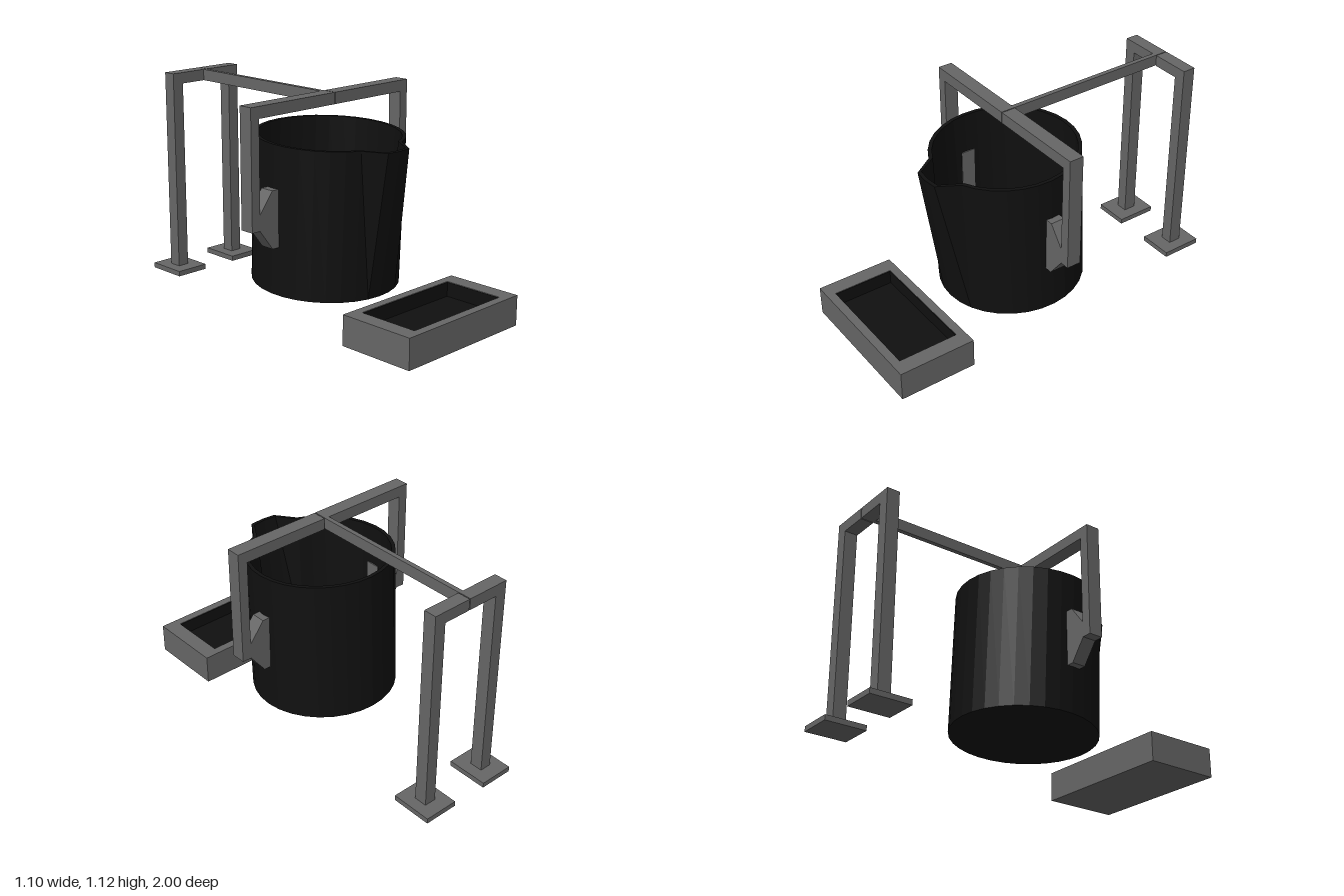
import * as THREE from 'three';

const steel = new THREE.MeshStandardMaterial({ color: 0x666666, flatShading: true });
const black = new THREE.MeshStandardMaterial({ color: 0x101010, flatShading: true });

function add(parent, name, geometry, material) {
  const mesh = new THREE.Mesh(geometry, material);
  mesh.name = name;
  parent.add(mesh);
  return mesh;
}

// Box given by its extents on each axis
function block(parent, name, [x0, x1], [y0, y1], [z0, z1], material = steel) {
  const mesh = add(parent, name, new THREE.BoxGeometry(x1 - x0, y1 - y0, z1 - z0), material);
  mesh.position.set((x0 + x1) / 2, (y0 + y1) / 2, (z0 + z1) / 2);
  return mesh;
}

// Hollow ladle lofted through rings; the three front points lean out into a spout
function ladleGeometry() {
  const sides = 32, r = 0.382, wall = 0.02, h = 0.765, spout = 0.088;
  const rings = [ // radius, height, spout reach
    [0, 0, 0], [r, 0, 0], [r, h, spout],
    [r - wall, h, spout], [r - wall, 0.03, 0], [0, 0.03, 0],
  ];
  const points = [], index = [];
  rings.forEach(([radius, y, reach], k) => {
    for (let i = 0; i < sides; i++) {
      const a = (i / sides) * Math.PI * 2;
      const inSpout = i <= 1 || i === sides - 1;
      points.push(radius * Math.sin(a), y, radius * Math.cos(a) + (inSpout ? reach : 0));
      if (k === rings.length - 1) continue;
      const p = k * sides + i, q = k * sides + (i + 1) % sides;
      if (k > 0) index.push(p, q, p + sides);
      if (k === 0) index.push(p, q + sides, p + sides);
      else if (k < rings.length - 2) index.push(q, q + sides, p + sides);
    }
  });
  const indexed = new THREE.BufferGeometry();
  indexed.setAttribute('position', new THREE.Float32BufferAttribute(points, 3));
  indexed.setIndex(index);
  const geometry = indexed.toNonIndexed();
  geometry.computeVertexNormals();
  return geometry;
}

// Upright rectangular ring with a rectangular opening
function rectRing(outer, inner, height) {
  const corners = ([x0, x1, z0, z1]) =>
    [[x0, -z0], [x0, -z1], [x1, -z1], [x1, -z0]].map(([x, y]) => new THREE.Vector2(x, y));
  const shape = new THREE.Shape(corners(outer));
  shape.holes.push(new THREE.Path(corners(inner)));
  const geometry = new THREE.ExtrudeGeometry(shape, { depth: height, bevelEnabled: false });
  return geometry.rotateX(-Math.PI / 2);
}

export function createModel() {
  const model = new THREE.Group();
  model.name = 'pouringLadleStation';
  const beamY = [1.055, 1.115];

  // Ladle, tipped slightly towards the mould
  const ladle = add(model, 'ladle', ladleGeometry(), black);
  ladle.position.set(0, 0.145, 0.075);
  ladle.rotation.x = 0.04;

  // Yoke over the ladle, in two halves that meet near the middle
  const yoke = new THREE.Group();
  yoke.name = 'yoke';
  model.add(yoke);
  const yokeZ = [0.053, 0.13];
  block(yoke, 'yokeBeamRight', [-0.55, 0.008], beamY, yokeZ);
  block(yoke, 'yokeBeamLeft', [0.013, 0.55], beamY, yokeZ);

  // Rear gantry
  const gantry = new THREE.Group();
  gantry.name = 'gantry';
  model.add(gantry);
  const gantryZ = [-0.925, -0.855];
  block(gantry, 'gantryBeamRight', [-0.227, 0.008], beamY, gantryZ);
  block(gantry, 'gantryBeamLeft', [0.013, 0.227], beamY, gantryZ);
  block(model, 'boom', [-0.016, 0.009], beamY, [-0.856, 0.054]);

  for (const s of [-1, 1]) {
    const side = s > 0 ? 'Left' : 'Right';
    const span = (a, b) => (s > 0 ? [a, b] : [-b, -a]);

    // Hanger and the tapered lug that joins it to the ladle wall
    block(yoke, 'hanger' + side, span(0.498, 0.55), [0.503, 1.055], yokeZ);
    const outline = [[0.355, 0.395], [0.418, 0.395], [0.5, 0.503], [0.5, 0.583], [0.418, 0.69], [0.355, 0.69]];
    const lug = new THREE.Shape(outline.map(([x, y]) => new THREE.Vector2(s * x, y)));
    const lugGeometry = new THREE.ExtrudeGeometry(lug, { depth: yokeZ[1] - yokeZ[0], bevelEnabled: false });
    add(yoke, 'lug' + side, lugGeometry, steel).position.z = yokeZ[0];

    // Gantry leg and foot plate
    block(gantry, 'leg' + side, span(0.163, 0.227), [0.028, 1.055], gantryZ);
    block(gantry, 'foot' + side, span(0.1, 0.288), [0, 0.028], [-1, -0.777]);
  }

  // Mould tray with a dark lining
  const tray = new THREE.Group();
  tray.name = 'mouldTray';
  model.add(tray);
  const outer = [-0.395, 0.403, 0.585, 1], inner = [-0.311, 0.317, 0.63, 0.955];
  const lining = [-0.308, 0.314, 0.633, 0.952];
  add(tray, 'trayWalls', rectRing(outer, inner, 0.158), steel).position.y = 0.015;
  block(tray, 'trayBase', [-0.311, 0.317], [0.015, 0.08], [0.63, 0.955]);
  add(tray, 'trayLining', rectRing(inner, lining, 0.09), black).position.y = 0.08;
  block(tray, 'trayFloor', [-0.308, 0.314], [0.08, 0.095], [0.633, 0.952], black);

  return model;
}
